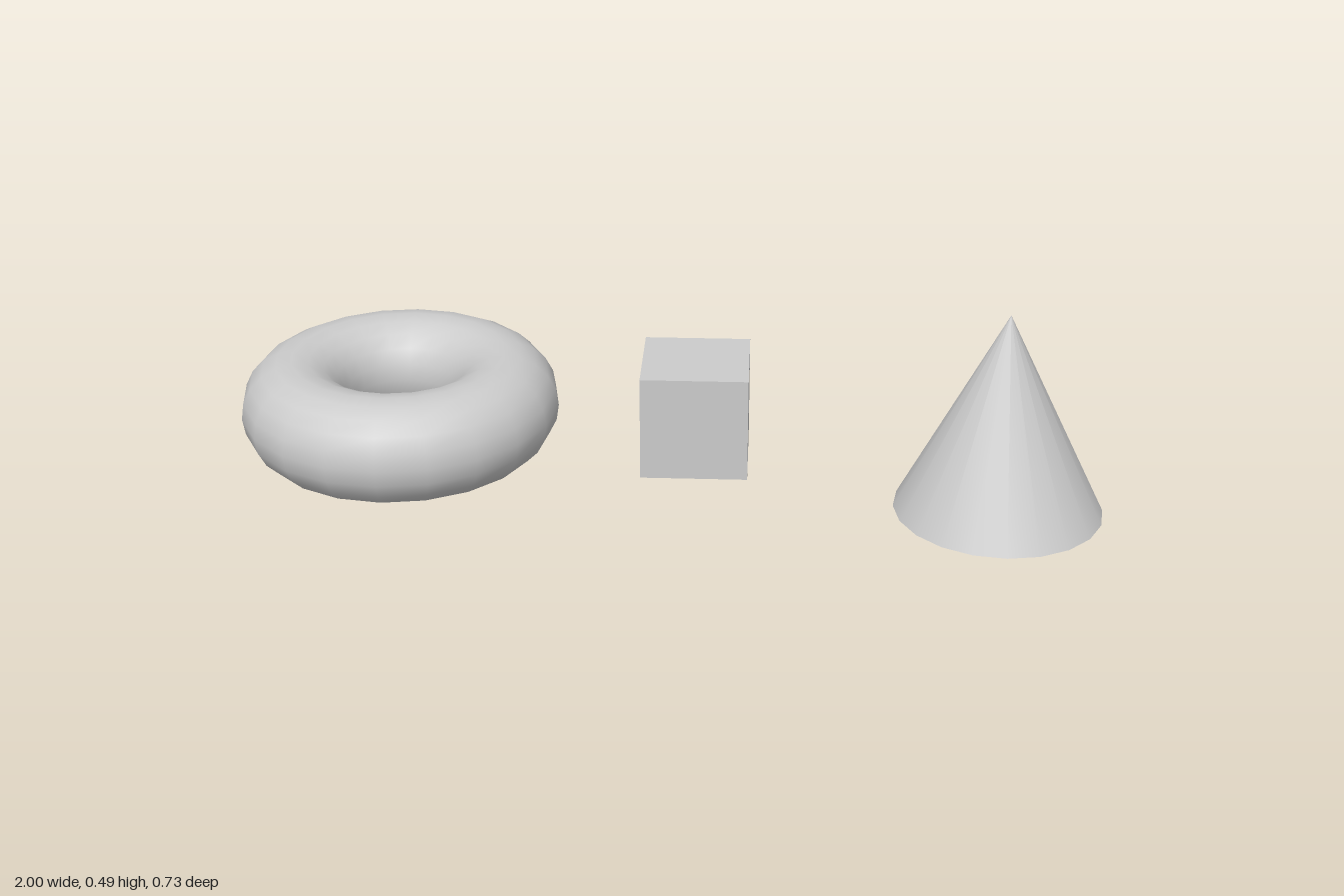
import * as THREE from 'three';

const U = 2 / 8.2; // base unit: cube edge and cone radius
const SIDES = 20;

export function createModel() {
  const group = new THREE.Group();
  const material = new THREE.MeshStandardMaterial({ color: 0xcccccc });

  const add = (name, geometry, x) => {
    const mesh = new THREE.Mesh(geometry, material);
    mesh.name = name;
    mesh.position.set(x, U, 0);
    group.add(mesh);
  };

  // Ring lying flat
  add('ring', new THREE.TorusGeometry(U, U / 2, SIDES, SIDES).rotateX(Math.PI / 2), -1 + 1.5 * U);

  // Cube floating at the ring's height
  add('cube', new THREE.BoxGeometry(U, U, U), -1 + 4.3 * U);

  // Cone standing on the ground
  add('cone', new THREE.ConeGeometry(U, 2 * U, SIDES), 1 - U);

  return group;
}
